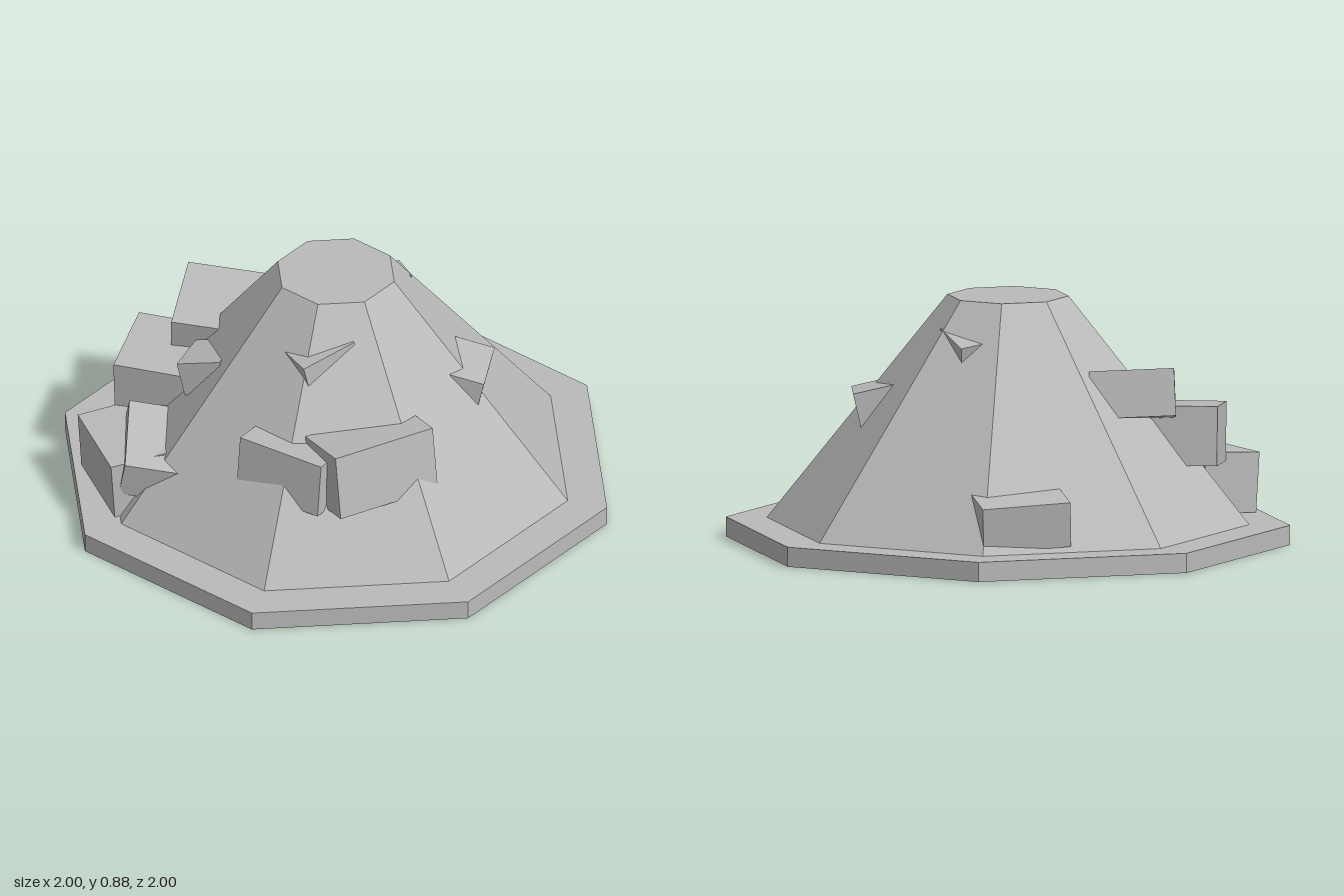
import * as THREE from 'three';

const stone = new THREE.MeshStandardMaterial({ color: 0xbababa, flatShading: true });
stone.name = 'grey stone';

// Block placed by one outer corner, two edges of its outer face and its depth into the hill
function rock(name, corner, edgeU, edgeV, depth) {
  const c = new THREE.Vector3(...corner);
  const u = new THREE.Vector3(...edgeU);
  const v = new THREE.Vector3(...edgeV);
  const w = u.length(), h = v.length();
  u.normalize();
  v.addScaledVector(u, -v.dot(u)).normalize();
  const n = new THREE.Vector3().crossVectors(u, v);
  // keep the frame right-handed while the block always grows inwards
  const side = n.x * c.x + n.z * c.z > 0 ? -1 : 1;
  const mesh = new THREE.Mesh(new THREE.BoxGeometry(w, h, depth), stone);
  mesh.name = name;
  mesh.quaternion.setFromRotationMatrix(new THREE.Matrix4().makeBasis(u, v, n));
  mesh.position.copy(c).addScaledVector(u, w / 2).addScaledVector(v, h / 2)
    .addScaledVector(n, side * depth / 2);
  return mesh;
}

// Eight-sided tapered solid
function octagon(name, top, bottom, y0, y1) {
  const mesh = new THREE.Mesh(new THREE.CylinderGeometry(top, bottom, y1 - y0, 8), stone);
  mesh.name = name;
  mesh.position.y = (y0 + y1) / 2;
  return mesh;
}

export function createModel() {
  const model = new THREE.Group();
  model.name = 'rockyHill';
  model.add(octagon('baseSlab', 1, 1, 0, 0.07));
  model.add(octagon('hill', 0.215, 0.855, 0.07, 0.875));

  // name, corner, first edge, second edge, depth
  const rocks = [
    ['frontLeftRock', [0.2, 0.54, 0.65], [0.27, 0, -0.285], [0.027, -0.235, 0.025], 0.22],
    ['frontRock', [-0.18, 0.495, 0.56], [0.325, -0.005, 0.085], [0, -0.2, 0.02], 0.22],
    ['upperFrontRock', [0.005, 0.72, 0.4], [0.14, 0.045, -0.15], [0.03, -0.14, -0.02], 0.18],
    ['leftRock', [0.56, 0.535, 0.045], [-0.03, 0.005, -0.225], [-0.03, -0.13, 0], 0.22],
    ['backRock', [-0.3, 0.25, -0.75], [0.3, -0.015, -0.1], [0, -0.16, 0.025], 0.25],
    ['upperBackRock', [0.13, 0.73, -0.335], [0.09, 0.05, 0.145], [0, -0.13, 0.04], 0.14],
    ['rightTopRock', [-0.61, 0.655, -0.21], [0.03, -0.055, 0.3], [-0.01, -0.165, -0.03], 0.3],
    ['rightMiddleRock', [-0.75, 0.5, -0.075], [0, -0.025, 0.305], [0, -0.21, -0.02], 0.3],
    ['rightSmallRock', [-0.51, 0.54, 0.25], [0.16, 0.045, 0.01], [0.03, -0.12, 0.01], 0.18],
    ['frontRightRock', [-0.6, 0.3, 0.575], [-0.08, 0.06, -0.31], [-0.025, -0.14, 0], 0.21],
    ['rightLowRock', [-0.86, 0.285, 0.3], [0.21, 0, 0.28], [0.01, -0.215, -0.01], 0.22],
  ];
  const group = new THREE.Group();
  group.name = 'rocks';
  for (const r of rocks) group.add(rock(...r));
  model.add(group);
  return model;
}
